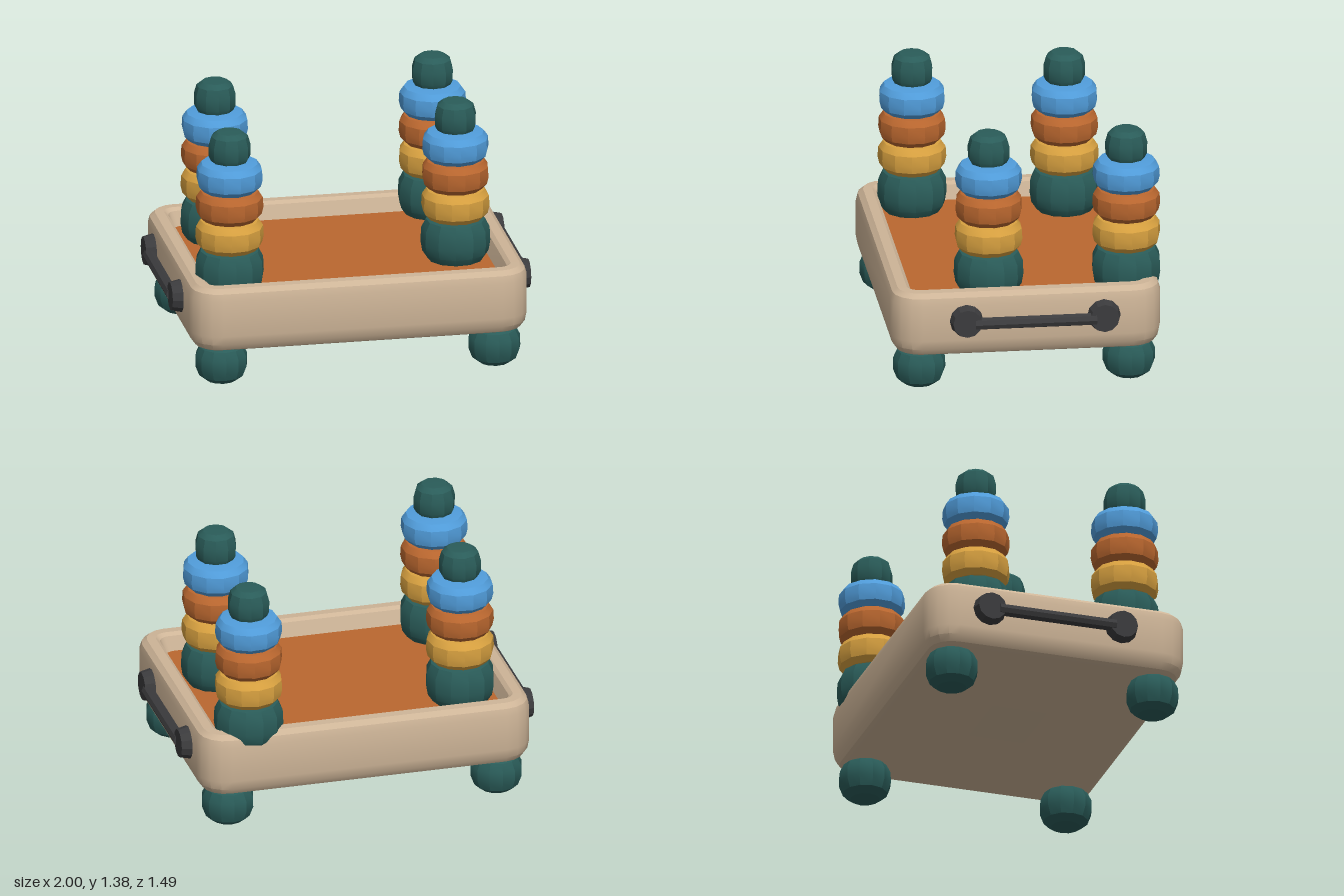
import * as THREE from 'three';
import { toCreasedNormals } from 'three/addons/utils/BufferGeometryUtils.js';

const mat = (name, color) => {
  const m = new THREE.MeshStandardMaterial({ color });
  m.name = name;
  return m;
};

// Rounded rectangle outline, walked from +x towards +z
function roundedLoop(hx, hz, r, y, steps = 4) {
  const pts = [];
  for (let q = 0; q < 4; q++) {
    const sx = q === 0 || q === 3 ? 1 : -1;
    const sz = q < 2 ? 1 : -1;
    for (let i = 0; i <= steps; i++) {
      const a = (q + i / steps) * Math.PI / 2;
      pts.push([sx * (hx - r) + r * Math.cos(a), y, sz * (hz - r) + r * Math.sin(a)]);
    }
  }
  return pts;
}

// Skin a list of equal-length closed loops
function loft(loops) {
  const n = loops[0].length;
  const index = [];
  for (let i = 0; i < loops.length - 1; i++) {
    for (let j = 0; j < n; j++) {
      const k = (j + 1) % n;
      const a = i * n + j, b = a + n, c = i * n + k, d = c + n;
      index.push(a, b, c, b, d, c);
    }
  }
  const g = new THREE.BufferGeometry();
  g.setAttribute('position', new THREE.Float32BufferAttribute(loops.flat(2), 3));
  g.setIndex(index);
  return toCreasedNormals(g, 0.5);
}

function lathe(profile, sides = 12) {
  const pts = profile.map(([x, y]) => new THREE.Vector2(x, y));
  return toCreasedNormals(new THREE.LatheGeometry(pts, sides), 0.45);
}

export function createModel() {
  const model = new THREE.Group();
  model.name = 'trayWithRingStacks';

  const wood = mat('pale wood', 0xcdb497);
  const teal = mat('dark teal', 0x2a5c59);
  const orange = mat('burnt orange', 0xba672f);
  const yellow = mat('mustard yellow', 0xd8a140);
  const blue = mat('sky blue', 0x519ddb);
  const iron = mat('charcoal', 0x3b3b3d);

  const add = (parent, name, geometry, material, x = 0, y = 0, z = 0) => {
    const mesh = new THREE.Mesh(geometry, material);
    mesh.name = name;
    mesh.position.set(x, y, z);
    parent.add(mesh);
    return mesh;
  };

  // Tray: underside, outer wall, rim and inner wall in one skin (inset, height)
  const trayProfile = [
    [0.07, 0.2], [0.035, 0.215], [0.01, 0.25], [0, 0.3], [0, 0.5],
    [0.012, 0.54], [0.04, 0.564], [0.09, 0.566], [0.11, 0.55], [0.14, 0.46],
  ];
  const loops = trayProfile.map(([inset, y]) =>
    roundedLoop(0.93 - inset, 0.735 - inset, Math.max(0.16 - inset, 0.06), y));
  loops.unshift(roundedLoop(0, 0, 0, 0.2));
  add(model, 'tray', loft(loops), wood);
  add(model, 'trayFloor', new THREE.BoxGeometry(1.6, 0.01, 1.21), orange, 0, 0.467, 0);

  // Feet
  const footGeo = lathe([
    [0, 0], [0.08, 0.004], [0.122, 0.035], [0.143, 0.09],
    [0.142, 0.15], [0.12, 0.195], [0.09, 0.215], [0, 0.215],
  ]);
  for (const x of [-0.752, 0.752]) {
    for (const z of [-0.567, 0.575]) add(model, 'foot', footGeo, teal, x, 0, z);
  }

  // Ring stacks
  const ringGeo = (r, h) => lathe([
    [0, 0], [r * 0.8, 0], [r * 0.95, h * 0.18], [r, h * 0.42],
    [r * 0.98, h * 0.75], [r * 0.85, h * 0.96], [r * 0.6, h], [0, h],
  ]);
  const rings = [
    ['baseRing', ringGeo(0.189, 0.235), teal, 0.47],
    ['yellowRing', ringGeo(0.186, 0.17), yellow, 0.705],
    ['orangeRing', ringGeo(0.184, 0.165), orange, 0.875],
    ['blueRing', ringGeo(0.182, 0.16), blue, 1.04],
  ];
  const stemGeo = new THREE.CylinderGeometry(0.075, 0.075, 0.8, 12);
  const capGeo = lathe([
    [0, 0], [0.1, 0], [0.113, 0.025], [0.114, 0.09],
    [0.1, 0.14], [0.07, 0.164], [0, 0.168],
  ], 10);
  const spots = [[-0.6, -0.38], [0.635, -0.567], [0.615, 0.18], [-0.68, 0.44]];
  spots.forEach(([x, z], s) => {
    const stack = new THREE.Group();
    stack.name = 'ringStack';
    stack.position.set(x, 0, z);
    model.add(stack);
    add(stack, 'stem', stemGeo, wood, 0, 0.87, 0);
    rings.forEach(([name, geo, material, y], i) => {
      add(stack, name, geo, material, 0, y, 0).rotation.y = s * 0.7 + i * 0.4;
    });
    add(stack, 'cap', capGeo, teal, 0, 1.207, 0).rotation.y = s * 0.5;
  });

  // Side handles: two tapered mounts and a bar
  const mountGeo = toCreasedNormals(new THREE.CylinderGeometry(0.078, 0.092, 0.06, 12), 0.4);
  mountGeo.rotateZ(-Math.PI / 2);
  const barGeo = toCreasedNormals(new THREE.CylinderGeometry(0.034, 0.034, 0.66, 8), 0.4);
  barGeo.rotateX(Math.PI / 2);
  for (const side of [1, -1]) {
    const handle = new THREE.Group();
    handle.name = side > 0 ? 'leftHandle' : 'rightHandle';
    for (const z of [-0.41, 0.338]) {
      const mount = add(handle, 'handleMount', mountGeo, iron, side * 0.957, 0.412, z);
      if (side < 0) mount.rotation.z = Math.PI;
    }
    add(handle, 'handleBar', barGeo, iron, side * 0.966, 0.405, -0.036);
    model.add(handle);
  }

  return model;
}
